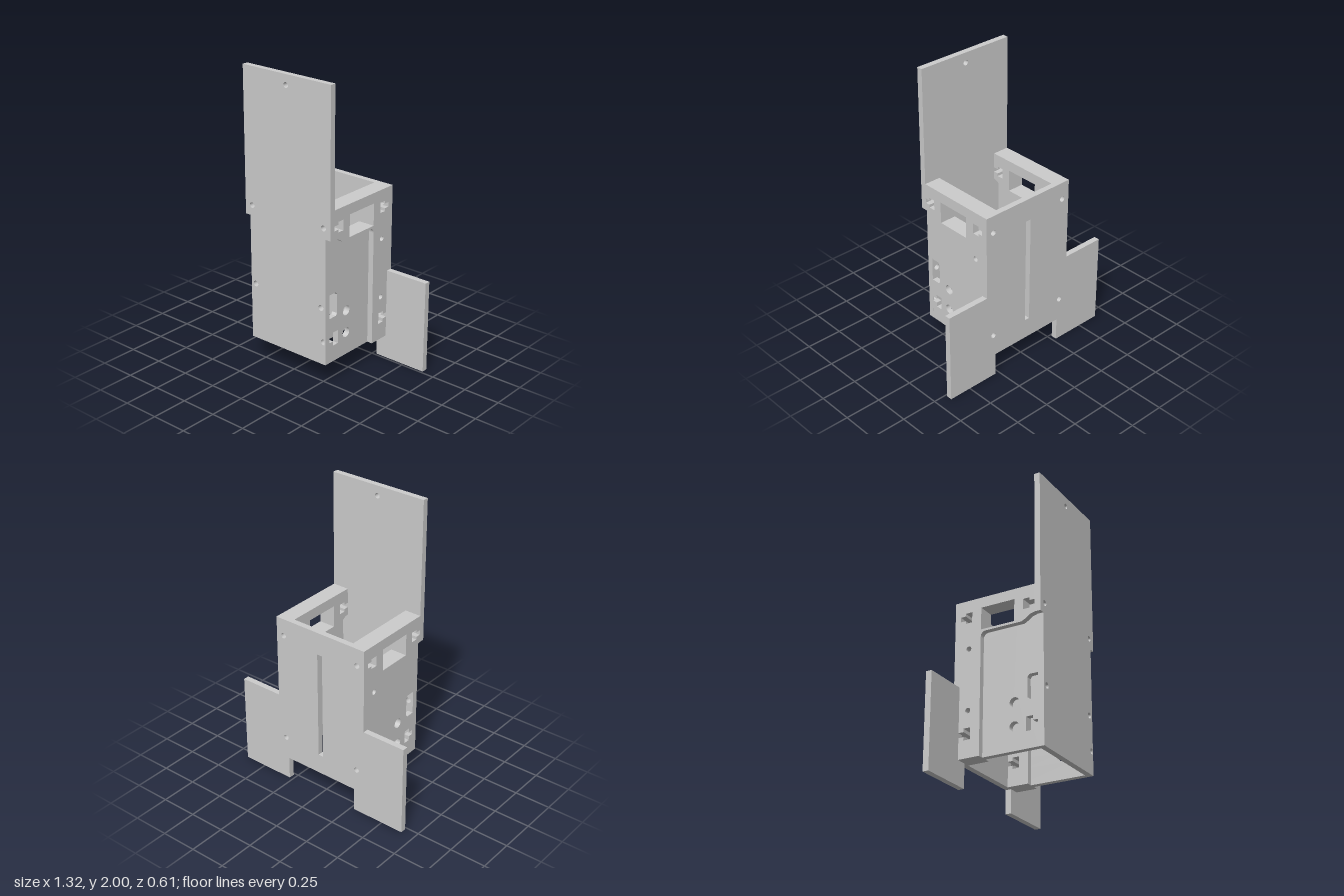
import * as THREE from 'three';

const material = new THREE.MeshStandardMaterial({ color: 0xcccccc, flatShading: true });

// Layer positions across each laminated side wall, and plate faces in z
const WALL = [0.235, 0.274, 0.312, 0.35];
const INNER = 0.265, OUTER = 0.305;
const T = OUTER - INNER;

const polygon = (pts) => new THREE.Shape(pts.map(([a, b]) => new THREE.Vector2(a, b)));

function circle(shape, x, y, r) {
  shape.holes.push(new THREE.Path().absarc(x, y, r, 0, Math.PI * 2, true));
}

function rect(shape, x0, x1, y0, y1) {
  shape.holes.push(new THREE.Path([[x0, y0], [x0, y1], [x1, y1], [x1, y0]].map((p) => new THREE.Vector2(...p))));
}

function plate(name, shape, depth) {
  const geometry = new THREE.ExtrudeGeometry(shape, { depth, bevelEnabled: false, curveSegments: 16 });
  const mesh = new THREE.Mesh(geometry, material);
  mesh.name = name;
  return mesh;
}

// T-shaped nut slot cut in from the front (s = 1) or back (s = -1) edge, listed bottom to top
function nutSlot(s, y, half) {
  const neck = 0.016, a = s * INNER, b = s * 0.23, c = s * 0.183;
  return [[a, y - neck], [b, y - neck], [b, y - half], [c, y - half],
    [c, y + half], [b, y + half], [b, y + neck], [a, y + neck]];
}

// Back edge, listed top to bottom
const backEdge = () => [
  [-INNER, 1.21],
  ...nutSlot(-1, 1.09, 0.035).reverse(),
  ...nutSlot(-1, 0.315, 0.038).reverse(),
];

// Openings shared by all layers of a side wall
function sharedHoles(shape) {
  rect(shape, -0.117, 0.121, 0.99, 1.14);
  circle(shape, -0.203, 0.875, 0.018);
  circle(shape, -0.203, 0.465, 0.018);
  return shape;
}

// Full middle layer with cable window and round holes (z, y)
function coreShape() {
  const shape = sharedHoles(polygon([
    [-INNER, 0.16], [INNER, 0.16],
    ...nutSlot(1, 0.317, 0.046),
    [INNER, 0.47], [0.205, 0.47], [0.192, 0.485], [0.192, 0.615], [0.205, 0.633], [INNER, 0.633],
    ...nutSlot(1, 1.09, 0.035),
    [INNER, 1.21], ...backEdge(),
  ]));
  circle(shape, 0.102, 0.47, 0.033);
  circle(shape, 0.102, 0.315, 0.033);
  return shape;
}

// Framing layer: back post and top rail around the recess (z, y)
function frameShape() {
  const corner = [];
  for (let i = 0; i <= 6; i++) {
    const t = (i / 6) * Math.PI / 2;
    corner.push([-0.085 - 0.033 * Math.cos(t), 0.942 + 0.033 * Math.sin(t)]);
  }
  return sharedHoles(polygon([
    [-INNER, 0.16], [-0.118, 0.16], ...corner,
    [0.17, 0.975], [0.185, 0.98], [0.235, 1.012], [INNER, 1.02],
    ...nutSlot(1, 1.09, 0.035),
    [INNER, 1.21], ...backEdge(),
  ]));
}

function sideWall(name, side) {
  const wall = new THREE.Group();
  wall.name = name;
  ['innerFrame', 'core', 'outerFrame'].forEach((layer, i) => {
    const mesh = plate(layer, i === 1 ? coreShape() : frameShape(), WALL[i + 1] - WALL[i]);
    mesh.geometry.rotateY(-Math.PI / 2);
    mesh.position.x = side > 0 ? WALL[i + 1] : -WALL[i];
    wall.add(mesh);
  });
  return wall;
}

// Tall front plate, narrower beside the recesses
function frontPlate() {
  const n = WALL[2], w = WALL[3];
  const shape = polygon([[-n, 0.16], [n, 0.16], [n, 1.02], [w, 1.02], [w, 2], [-w, 2], [-w, 1.02], [-n, 1.02]]);
  circle(shape, 0, 1.932, 0.018);
  for (const s of [-1, 1]) {
    circle(shape, s * 0.295, 1.09, 0.019);
    circle(shape, s * 0.275, 0.55, 0.02);
    circle(shape, s * 0.295, 0.317, 0.019);
  }
  const mesh = plate('frontPlate', shape, T);
  mesh.position.z = INNER;
  return mesh;
}

// Back plate with two low wings and a central slot
function backPlate() {
  const half = [[0.276, 0.16], [0.276, 0], [0.658, 0], [0.658, 0.63], [0.35, 0.63], [0.35, 1.21]];
  const shape = polygon([...half, ...half.map(([x, y]) => [-x, y]).reverse()]);
  rect(shape, -0.019, 0.019, 0.3, 1.055);
  for (const s of [-1, 1]) {
    circle(shape, s * 0.295, 1.09, 0.019);
    circle(shape, s * 0.295, 0.317, 0.019);
  }
  const mesh = plate('backPlate', shape, T);
  mesh.position.z = -OUTER;
  return mesh;
}

export function createModel() {
  const model = new THREE.Group();
  model.name = 'plateEnclosure';
  model.add(frontPlate(), backPlate(), sideWall('leftWall', 1), sideWall('rightWall', -1));
  return model;
}
